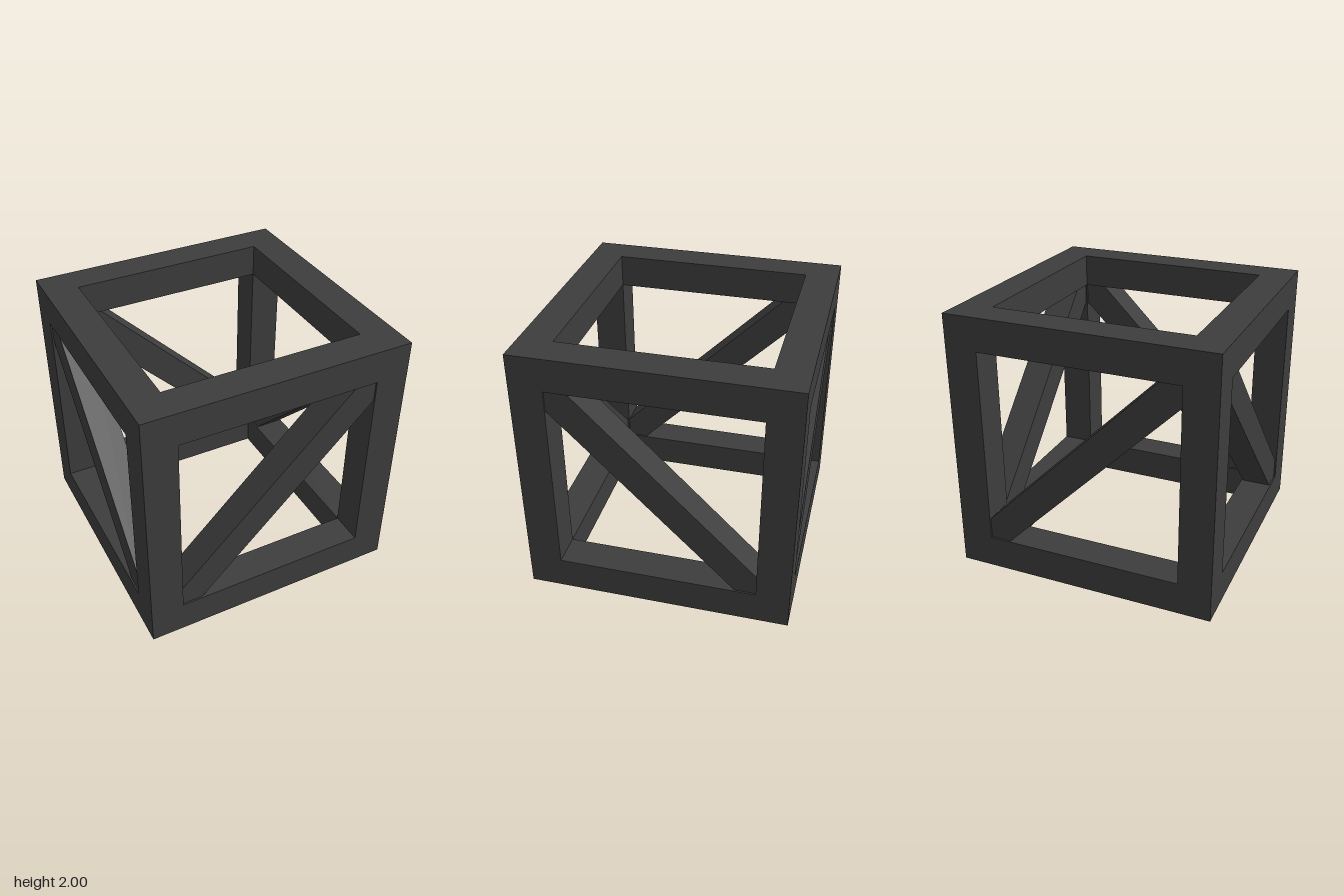
import * as THREE from 'three';

const BAR = 0.25;            // frame bar thickness
const IN = 1 - BAR;          // half size of each opening
const MID = 1 - BAR / 2;     // bar centre line
const BRACE = 0.225;         // brace section, slightly thinner than the bars

export function createModel() {
  const model = new THREE.Group();
  model.name = 'crateFrame';
  const charcoal = new THREE.MeshStandardMaterial({ color: 0x3d3d3d });
  charcoal.name = 'charcoal';

  function add(name, geometry, x, y, z) {
    const mesh = new THREE.Mesh(geometry, charcoal);
    mesh.name = name;
    mesh.position.set(x, y, z);
    model.add(mesh);
    return mesh;
  }

  // Corner posts and the rails that join them at top and bottom
  const post = new THREE.BoxGeometry(BAR, 2, BAR);
  const railX = new THREE.BoxGeometry(2 * IN, BAR, BAR);
  const railZ = new THREE.BoxGeometry(BAR, BAR, 2 * IN);
  for (const a of [-1, 1]) {
    for (const b of [-1, 1]) {
      add('cornerPost', post, a * MID, 1, b * MID);
      add(b > 0 ? 'topRailAcross' : 'bottomRailAcross', railX, 0, 1 + b * MID, a * MID);
      add(b > 0 ? 'topRailSide' : 'bottomRailSide', railZ, a * MID, 1 + b * MID, 0);
    }
  }

  // Diagonal brace with ends trimmed to fit the opening; s = 1 rises to the right, -1 falls
  function braceGeometry(s) {
    const cut = IN - BRACE / Math.SQRT2;
    const points = [[-IN, -IN], [-cut, -IN], [IN, cut], [IN, IN], [cut, IN], [-IN, -cut]];
    const shape = new THREE.Shape(points.map(([x, y]) => new THREE.Vector2(s * x, y)));
    const geometry = new THREE.ExtrudeGeometry(shape, { depth: BRACE, bevelEnabled: false });
    return geometry.translate(0, 0, -BRACE / 2);
  }

  // One brace per side wall, meeting in pairs at opposite corners
  const rising = braceGeometry(1);
  const falling = braceGeometry(-1);
  add('frontBrace', rising, 0, 1, MID);
  add('backBrace', rising, 0, 1, -MID).rotation.y = Math.PI;
  add('leftBrace', falling, MID, 1, 0).rotation.y = Math.PI / 2;
  add('rightBrace', falling, -MID, 1, 0).rotation.y = -Math.PI / 2;

  return model;
}
